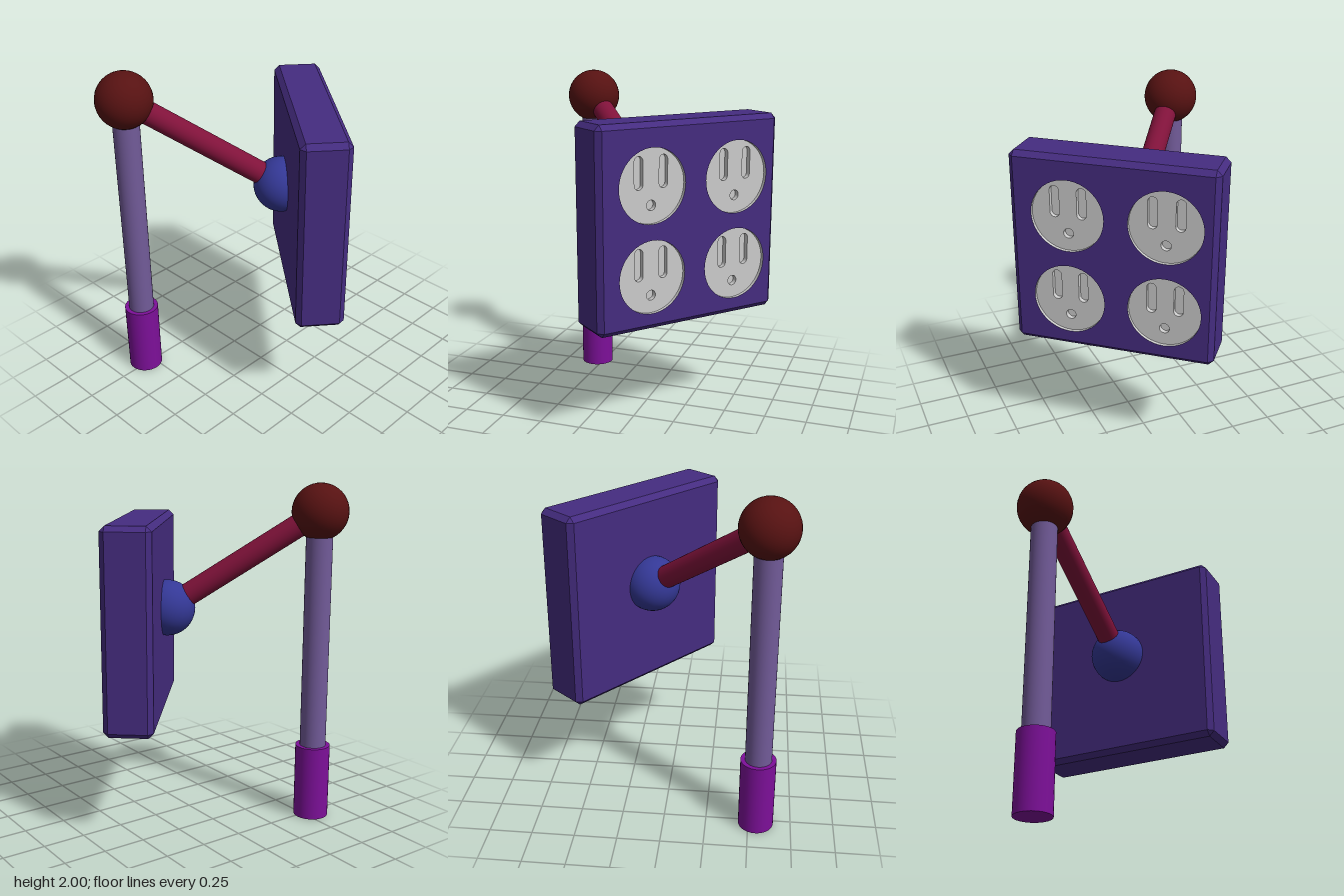
import * as THREE from 'three';
import { ConvexGeometry } from 'three/addons/geometries/ConvexGeometry.js';

const W = 1.18, H = 1.16, T = 0.28, C = 0.03; // box size and chamfer
const R = 0.21, RECESS = 0.02, SLOT_DEPTH = 0.03; // outlet
const KNEE = new THREE.Vector3(-0.522, 1.837, 0.545);
const JOINT = new THREE.Vector3(0.045, 1.27, -0.125);

const mat = (color, extra = {}) => new THREE.MeshStandardMaterial({ color, ...extra });

function add(parent, name, geometry, material, x = 0, y = 0, z = 0) {
  const mesh = new THREE.Mesh(geometry, material);
  mesh.name = name;
  mesh.position.set(x, y, z);
  parent.add(mesh);
  return mesh;
}

// Chamfered box without its +z face, which is added separately with openings
function chamferedShell() {
  const points = [];
  for (const sx of [-1, 1]) for (const sy of [-1, 1]) for (const sz of [-1, 1]) {
    for (const axis of [0, 1, 2]) {
      const [a, b, c] = [0, 1, 2].map(i => (i === axis ? 0 : C));
      points.push(new THREE.Vector3(sx * (W / 2 - a), sy * (H / 2 - b), sz * (T / 2 - c)));
    }
  }
  const p = new ConvexGeometry(points).getAttribute('position').array;
  const kept = [];
  for (let i = 0; i < p.length; i += 9) {
    if (Math.min(p[i + 2], p[i + 5], p[i + 8]) < T / 2 - 1e-4) kept.push(...p.slice(i, i + 9));
  }
  const g = new THREE.BufferGeometry();
  g.setAttribute('position', new THREE.Float32BufferAttribute(kept, 3));
  g.computeVertexNormals();
  return g;
}

function circlePath(x, y, r) {
  return new THREE.Path().absarc(x, y, r, 0, Math.PI * 2, true);
}

// Upright slot with round ends
function slotPath(x, y0, y1, r) {
  const p = new THREE.Path();
  p.absarc(x, y1 - r, r, 0, Math.PI, false);
  p.absarc(x, y0 + r, r, Math.PI, Math.PI * 2, false);
  p.closePath();
  return p;
}

function makeOutlet() {
  const outlet = new THREE.Group();
  outlet.name = 'outlet';
  const grey = mat(0xcccccc);
  // Wall of the round recess
  const rim = new THREE.CylinderGeometry(R, R, RECESS, 48, 1, true).rotateX(Math.PI / 2);
  add(outlet, 'recessWall', rim, mat(0xcccccc, { side: THREE.DoubleSide }), 0, 0, -RECESS / 2);
  // Face with two slots and a ground hole
  const face = new THREE.Shape().absarc(0, 0, R, 0, Math.PI * 2, false);
  for (const x of [-0.078, 0.078]) face.holes.push(slotPath(x, -0.018, 0.165, 0.027));
  face.holes.push(circlePath(0, -0.108, 0.029));
  const plate = new THREE.ExtrudeGeometry(face, { depth: SLOT_DEPTH, bevelEnabled: false, curveSegments: 24 });
  add(outlet, 'outletFace', plate, grey, 0, 0, -RECESS - SLOT_DEPTH);
  add(outlet, 'slotFloor', new THREE.CircleGeometry(R, 48), grey, 0, 0, -RECESS - SLOT_DEPTH + 0.001);
  return outlet;
}

function makeOutletBox() {
  const box = new THREE.Group();
  box.name = 'outletBox';
  const purple = mat(0x452c80);
  add(box, 'boxShell', chamferedShell(), purple);

  const w = W / 2 - C, h = H / 2 - C;
  const panel = new THREE.Shape([[-w, -h], [w, -h], [w, h], [-w, h]].map(p => new THREE.Vector2(...p)));
  for (const x of [-0.253, 0.303]) for (const y of [-0.275, 0.235]) {
    panel.holes.push(circlePath(x, y, R));
    const outlet = makeOutlet();
    outlet.position.set(x, y, T / 2);
    box.add(outlet);
  }
  add(box, 'outletPanel', new THREE.ShapeGeometry(panel, 24), purple);
  box.getObjectByName('outletPanel').position.z = T / 2;
  return box;
}

export function createModel() {
  const model = new THREE.Group();
  model.name = 'outletStand';

  // Upright with its thicker foot
  add(model, 'foot', new THREE.CylinderGeometry(0.103, 0.103, 0.445, 32), mat(0x7d1099), KNEE.x, 0.2225, KNEE.z);
  add(model, 'post', new THREE.CylinderGeometry(0.077, 0.077, 1.4, 32), mat(0x725b99), KNEE.x, 1.1, KNEE.z);

  // Ball joints
  add(model, 'kneeBall', new THREE.SphereGeometry(0.163, 32, 20), mat(0x571212), ...KNEE.toArray());
  add(model, 'boxBall', new THREE.SphereGeometry(0.165, 32, 20), mat(0x343896), ...JOINT.toArray());

  // Sloping arm between the joints
  const span = JOINT.clone().sub(KNEE);
  const middle = KNEE.clone().add(JOINT).multiplyScalar(0.5);
  const arm = add(model, 'arm', new THREE.CylinderGeometry(0.067, 0.067, span.length(), 32), mat(0x80123a), ...middle.toArray());
  arm.quaternion.setFromUnitVectors(new THREE.Vector3(0, 1, 0), span.normalize());

  // Box turned so its outlets face away from the arm
  const box = makeOutletBox();
  box.position.set(0.155, 1.22, -0.24);
  box.rotation.y = THREE.MathUtils.degToRad(140);
  model.add(box);
  return model;
}
